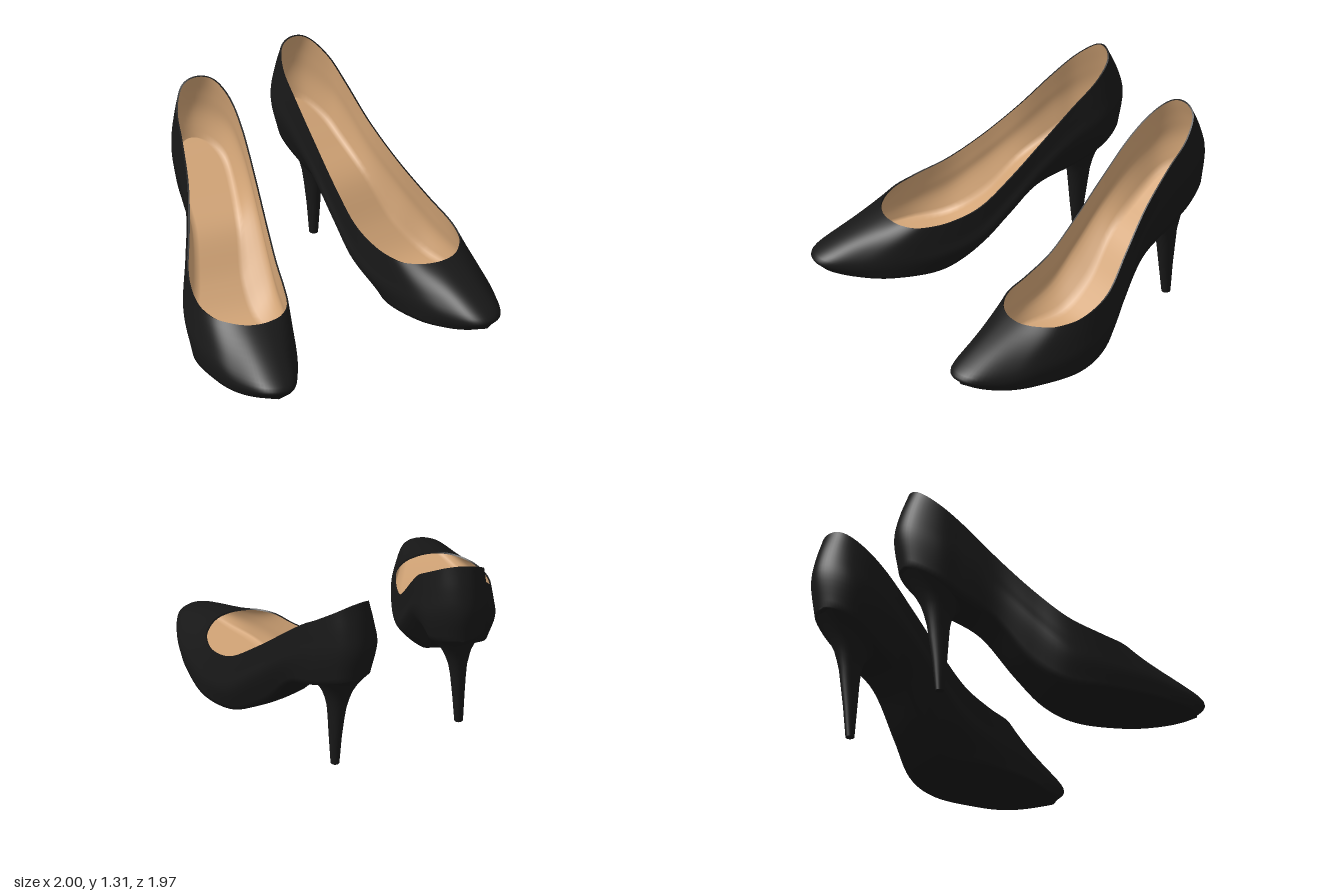
import * as THREE from 'three';
import { mergeGeometries, mergeVertices } from 'three/addons/utils/BufferGeometryUtils.js';

const leather = new THREE.MeshStandardMaterial({ color: 0x181818, side: THREE.DoubleSide });
const tan = new THREE.MeshStandardMaterial({ color: 0xd2a476, side: THREE.DoubleSide });
const AROUND = 132, ROWS = 15;

// Plan outlines [x, z], running toe -> outer side -> back -> inner side
const SOLE = [[.68, .94], [.785, .89], [.885, .735], [.95, .54], [.985, .25], [.915, 0], [.815, -.2], [.765, -.4], [.755, -.62],
  [.745, -.78], [.685, -.92], [.585, -.962], [.485, -.92], [.42, -.8], [.435, -.62], [.485, -.4], [.535, -.2], [.51, 0],
  [.425, .25], [.44, .55], [.515, .755], [.59, .9]];
const WIDEST = [[.68, .98], [.79, .93], [.895, .75], [.96, .55], [1, .25], [.97, 0], [.885, -.2], [.81, -.4], [.79, -.62],
  [.775, -.78], [.695, -.94], [.58, -.99], [.46, -.94], [.375, -.82], [.36, -.62], [.365, -.4], [.37, -.2], [.37, 0],
  [.38, .25], [.43, .55], [.5, .77], [.58, .935]];
const RIM = [[.66, .53], [.75, .515], [.84, .455], [.915, .36], [.96, .2], [.945, 0], [.87, -.2], [.805, -.4], [.775, -.6],
  [.755, -.75], [.685, -.865], [.58, -.895], [.47, -.865], [.4, -.76], [.375, -.6], [.368, -.4], [.367, -.2], [.37, 0],
  [.385, .2], [.42, .37], [.495, .47], [.58, .515]];

// Side profiles [z, y], from back to front
const SOLE_Y = [[-.97, .8], [-.8, .7], [-.6, .58], [-.5, .535], [-.4, .46], [-.3, .335], [-.2, .205], [-.1, .1], [0, .048],
  [.1, .025], [.25, .015], [.6, .02], [.8, .034], [.94, .068]];
const WIDEST_Y = [[-.99, 1], [-.8, .9], [-.6, .79], [-.4, .62], [-.2, .4], [0, .21], [.25, .14], [.75, .11], [.98, .13]];
const RIM_Y = [[-.895, 1.31], [-.865, 1.285], [-.76, 1.195], [-.6, 1.06], [-.4, .855], [-.2, .645], [-.1, .55],
  [0, .465], [.1, .41], [.2, .385], [.36, .362], [.53, .355]];

function profile(table, z) {
  if (z <= table[0][0]) return table[0][1];
  for (let i = 1; i < table.length; i++) {
    const [z0, y0] = table[i - 1], [z1, y1] = table[i];
    if (z <= z1) return y0 + (y1 - y0) * (z - z0) / (z1 - z0);
  }
  return table[table.length - 1][1];
}

// Indexed surface from point(u, v); wraps around u when closed
function grid(nu, nv, point, closed, flip) {
  const pos = [], index = [], cols = closed ? nu : nu + 1;
  for (let v = 0; v <= nv; v++) for (let u = 0; u < cols; u++) pos.push(...point(u, v).toArray());
  for (let v = 0; v < nv; v++) for (let u = 0; u < nu; u++) {
    const u1 = (u + 1) % cols;
    const a = v * cols + u, b = v * cols + u1, c = a + cols, d = b + cols;
    if (flip) index.push(a, c, b, b, c, d);
    else index.push(a, b, c, b, d, c);
  }
  const g = new THREE.BufferGeometry();
  g.setAttribute('position', new THREE.Float32BufferAttribute(pos, 3));
  g.setIndex(index);
  g.computeVertexNormals();
  return g;
}

const at = (geometry, i) => new THREE.Vector3().fromBufferAttribute(geometry.attributes.position, i);

// Surface spanning a ring from its outer side to its inner side
function bridge(ring, sag, flip) {
  const n = 10;
  return grid(AROUND / 2, n, (u, v) => {
    const p = ring(u).lerp(ring((AROUND - u) % AROUND), v / n);
    p.y -= sag * Math.sin(Math.PI * v / n);
    return p;
  }, false, flip);
}

// Joins surfaces along shared borders with smooth normals
function weld(...geometries) {
  const g = mergeGeometries(geometries);
  g.deleteAttribute('normal');
  const welded = mergeVertices(g, 1e-5);
  welded.computeVertexNormals();
  return welded;
}

function shoeParts() {
  // Four guide loops: sole edge, widest line, shoulder, rim
  const sole = SOLE.map(([x, z]) => new THREE.Vector3(x, profile(SOLE_Y, z), z));
  const widest = WIDEST.map(([x, z]) => new THREE.Vector3(x, profile(WIDEST_Y, z), z));
  const rim = RIM.map(([x, z]) => {
    const outer = THREE.MathUtils.clamp((x - .6) / .12, 0, 1);
    const dip = .015 * outer * THREE.MathUtils.smoothstep(-z, .25, .6);
    return new THREE.Vector3(x, profile(RIM_Y, z) - dip, z);
  });
  const shoulder = widest.map((p, i) => {
    const q = p.clone().lerp(rim[i], .35);
    q.y = THREE.MathUtils.lerp(p.y, rim[i].y, p.z > .2 ? .42 : .5);
    return q;
  });
  const loops = [sole, widest, shoulder, rim].map(l => new THREE.CatmullRomCurve3(l, true, 'catmullrom'));
  const ribs = Array.from({ length: AROUND }, (_, u) =>
    new THREE.CatmullRomCurve3(loops.map(l => l.getPoint(u / AROUND)), false, 'catmullrom'));

  // Leather skin with its outsole, and a lining offset inside it
  const upper = grid(AROUND, ROWS, (u, v) => ribs[u].getPoint(v / ROWS), true);
  const outsole = bridge(u => at(upper, u), .015, true);
  const inner = (u, v) => {
    const i = v * AROUND + u;
    const n = new THREE.Vector3().fromBufferAttribute(upper.attributes.normal, i);
    return at(upper, i).addScaledVector(n, -.01);
  };
  const lining = grid(AROUND, ROWS - 1, (u, v) => inner(u, v + 1), true, true);
  const insole = bridge(u => inner(u, 1), 0, false);
  const rimEdge = grid(AROUND, 1, (u, v) => v ? inner(u, ROWS) : at(upper, ROWS * AROUND + u), true);

  // Heel rings: [height, centre x, centre z, half depth, half width, tilt]
  const rings = [[0, .605, -.71, 0, 0, 0], [0, .605, -.71, .028, .027, 0], [0, .605, -.71, .028, .027, 0],
    [.2, .603, -.71, .047, .038, 0], [.35, .6, -.714, .063, .048, 0], [.44, .597, -.716, .073, .058, .05],
    [.51, .594, -.717, .09, .075, .12], [.56, .59, -.715, .112, .092, .22], [.605, .587, -.723, .142, .114, .36],
    [.645, .583, -.738, .172, .138, .47], [.68, .581, -.757, .199, .157, .55]];
  const heel = grid(32, rings.length - 1, (u, v) => {
    const [y, x, z, hz, hx, tilt] = rings[v], a = u / 32 * Math.PI * 2;
    const dz = hz * Math.cos(a);
    return new THREE.Vector3(x + hx * Math.sin(a), y - tilt * dz, z + dz);
  }, true);

  return [
    ['upperAndSole', weld(upper, outsole), leather],
    ['rimEdge', rimEdge, leather],
    ['liningAndInsole', weld(lining, insole), tan],
    ['heel', heel, leather],
  ];
}

// Reflects a geometry in x and restores its winding
function mirrored(geometry) {
  const g = geometry.clone().scale(-1, 1, 1);
  const idx = g.index.array;
  for (let i = 0; i < idx.length; i += 3) [idx[i], idx[i + 1]] = [idx[i + 1], idx[i]];
  g.computeVertexNormals();
  return g;
}

export function createModel() {
  const model = new THREE.Group();
  model.name = 'highHeelShoes';
  const left = new THREE.Group(), right = new THREE.Group();
  left.name = 'leftShoe';
  right.name = 'rightShoe';
  for (const [name, geometry, material] of shoeParts()) {
    const a = new THREE.Mesh(geometry, material);
    const b = new THREE.Mesh(mirrored(geometry).translate(.625, 0, 0), material);
    a.name = b.name = name;
    left.add(a);
    right.add(b);
  }
  // The right shoe is turned outwards
  right.rotation.y = -THREE.MathUtils.degToRad(18);
  right.position.set(-.505, 0, -.03);
  model.add(left, right);
  return model;
}
